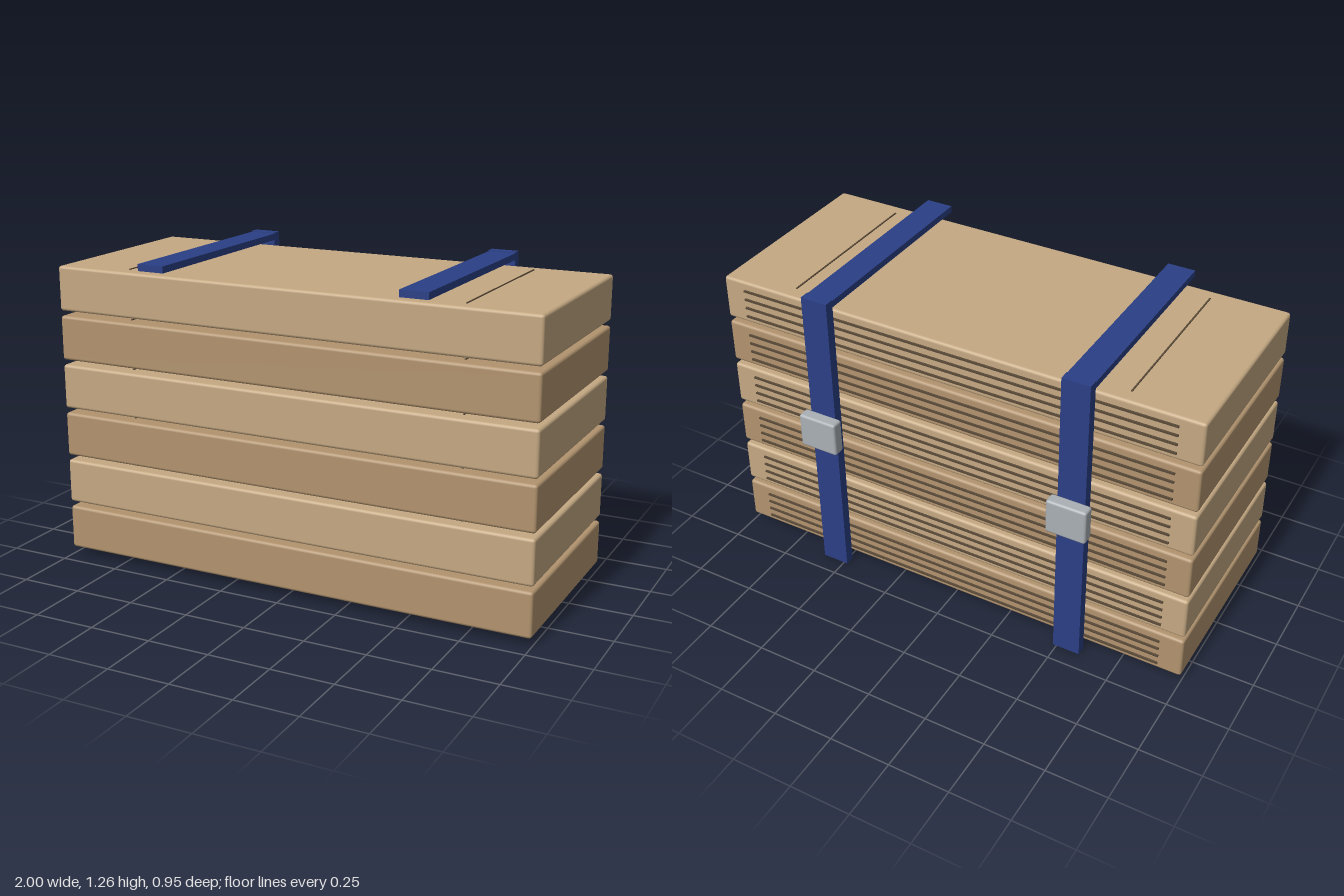
import * as THREE from 'three';
import { RoundedBoxGeometry } from 'three/addons/geometries/RoundedBoxGeometry.js';

const mat = (color) => new THREE.MeshStandardMaterial({ color });

export function createModel() {
  const model = new THREE.Group();
  const lightCard = mat(0xc4a882);
  const darkCard = mat(0xb2946f);
  const lineMat = mat(0x5a4a38);
  const strapMat = mat(0x2a3f85);
  const metal = mat(0xaab0b5);

  const add = (parent, name, geometry, material, x, y, z) => {
    const mesh = new THREE.Mesh(geometry, material);
    mesh.name = name;
    mesh.position.set(x, y, z);
    parent.add(mesh);
  };

  // Stack of flat bundles in alternating tones
  const slab = new RoundedBoxGeometry(2, 0.18, 0.815, 2, 0.012);
  const edgeLine = new THREE.BoxGeometry(1.81, 0.007, 0.016);
  const creaseLine = new THREE.BoxGeometry(0.006, 0.008, 0.7);
  for (let i = 0; i < 6; i++) {
    const bundle = new THREE.Group();
    bundle.name = `bundle${i + 1}`;
    bundle.position.y = 0.122 + i * 0.2;
    add(bundle, 'slab', slab, i % 2 ? lightCard : darkCard, 0, 0, 0.0325);

    // Layer lines along the back
    for (let j = 0; j < 4; j++) {
      add(bundle, 'layerLine', edgeLine, lineMat, 0, -0.06 + j * 0.0375, -0.375);
    }
    // Fold creases on top, near both ends
    for (const s of [-1, 1]) {
      add(bundle, 'foldCrease', creaseLine, lineMat, s * 0.7, 0.089, 0.0325);
    }
    model.add(bundle);
  }

  // Straps: one run over the top, one down the back, with a buckle
  for (const s of [-1, 1]) {
    const strap = new THREE.Group();
    strap.name = s > 0 ? 'leftStrap' : 'rightStrap';
    strap.position.x = s * 0.541;
    add(strap, 'topStrap', new THREE.BoxGeometry(0.112, 0.027, 0.895), strapMat, 0, 1.2445, 0.0275);
    add(strap, 'backStrap', new THREE.BoxGeometry(0.112, 1.262, 0.04), strapMat, 0, 0.631, -0.407);
    add(strap, 'buckle', new RoundedBoxGeometry(0.164, 0.145, 0.052, 2, 0.01), metal, 0, 0.677, -0.449);
    model.add(strap);
  }
  return model;
}
